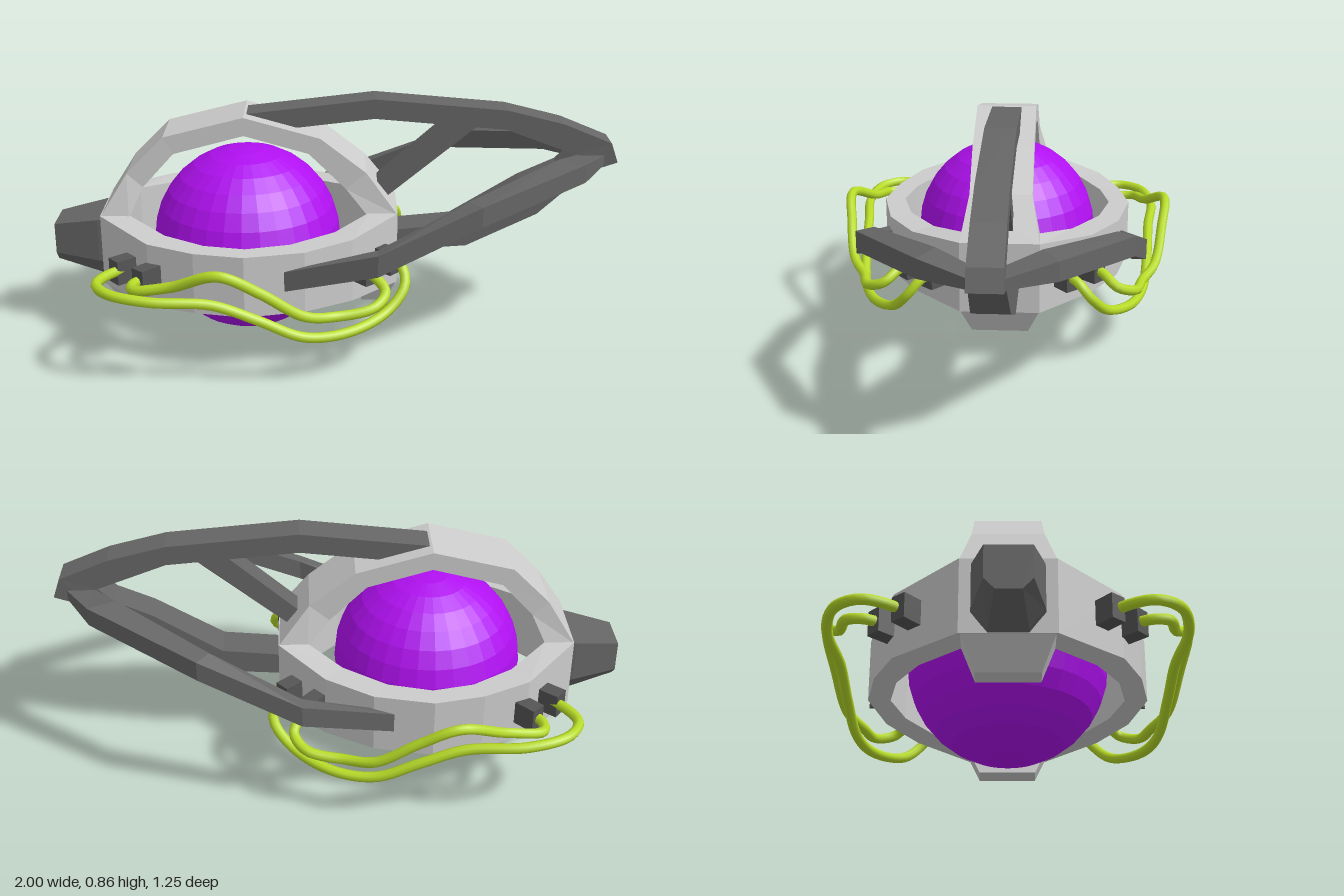
import * as THREE from 'three';

const mat = (color, flatShading = true) => new THREE.MeshStandardMaterial({ color, flatShading });
const grey = mat(0xcccccc), dark = mat(0x666666), socketMat = mat(0x555555);
const purple = mat(0xb010f0), green = mat(0xb8dc28, false);

// Skin a list of equal-sized cross-sections ([x, y, z] corners); ends are capped unless closed.
function loft(sections, closed = false) {
  const n = sections[0].length, m = sections.length, pos = sections.flat(2), tris = [];
  for (let i = 0; i < (closed ? m : m - 1); i++) {
    for (let j = 0; j < n; j++) {
      const a = i * n + j, b = i * n + (j + 1) % n;
      const k = ((i + 1) % m) * n, c = k + j, d = k + (j + 1) % n;
      tris.push([a, b, d], [a, d, c]);
    }
  }
  if (!closed) {
    const e = (m - 1) * n;
    for (let j = 1; j < n - 1; j++) tris.push([0, j + 1, j], [e, e + j, e + j + 1]);
  }
  // Turn all faces outward using the signed volume
  const v = (i) => new THREE.Vector3().fromArray(pos, i * 3);
  const volume = tris.reduce((s, [a, b, c]) => s + v(a).dot(v(b).cross(v(c))), 0);
  if (volume < 0) tris.forEach((t) => t.reverse());
  let g = new THREE.BufferGeometry();
  g.setAttribute('position', new THREE.Float32BufferAttribute(pos, 3));
  g.setIndex(tris.flat());
  g = g.toNonIndexed();
  g.computeVertexNormals();
  return g;
}

export function createModel() {
  const model = new THREE.Group();
  const add = (name, geometry, material) => {
    const mesh = new THREE.Mesh(geometry, material);
    mesh.name = name;
    model.add(mesh);
    return mesh;
  };

  // Central ball
  add('core', new THREE.SphereGeometry(0.335, 32, 16), purple).position.set(-0.315, 0.337, 0);

  // Faceted collar: outer x, z, inner x, z, bottom, top
  const half = [
    [-0.82, 0.15, -0.72, 0.14, 0.21, 0.465],
    [-0.63, 0.36, -0.58, 0.28, 0.22, 0.445],
    [-0.47, 0.43, -0.44, 0.36, 0.225, 0.44],
    [-0.30, 0.465, -0.30, 0.39, 0.225, 0.44],
    [-0.10, 0.42, -0.15, 0.35, 0.225, 0.44],
    [0.06, 0.32, 0, 0.25, 0.22, 0.445],
    [0.22, 0.14, 0.12, 0.13, 0.21, 0.47],
  ];
  const collarSection = ([ox, oz, ix, iz, lo, hi], s) =>
    [[ox, lo, s * oz], [ox, hi, s * oz], [ix, hi, s * iz], [ix, lo, s * iz]];
  add('collar', loft([
    ...half.map((p) => collarSection(p, 1)),
    ...[...half].reverse().map((p) => collarSection(p, -1)),
  ], true), grey);

  // Strip lying along x: outer x, y, inner x, y, half width
  const strip = (rows) => loft(rows.map(([ox, oy, ix, iy, w]) =>
    [[ox, oy, w], [ox, oy, -w], [ix, iy, -w], [ix, iy, w]]));

  // Arch over the ball
  add('arch', strip([
    [-0.82, 0.46, -0.72, 0.455, 0.15],
    [-0.725, 0.61, -0.67, 0.56, 0.115],
    [-0.595, 0.74, -0.56, 0.68, 0.11],
    [-0.315, 0.81, -0.315, 0.745, 0.11],
    [-0.05, 0.735, -0.09, 0.68, 0.11],
    [0.11, 0.61, 0.04, 0.55, 0.11],
    [0.22, 0.465, 0.12, 0.455, 0.14],
  ]), grey);

  // Feet under both ends of the collar
  add('rearFoot', strip([[-0.82, 0.215, -0.72, 0.215, 0.145], [-0.76, 0.11, -0.69, 0.11, 0.10]]), grey);
  add('frontFoot', strip([[0.22, 0.215, 0.12, 0.215, 0.14], [0.18, 0.12, 0.095, 0.12, 0.10]]), grey);

  // Tapered snout at the rear end
  const snoutSection = (x, lo, mid, hi, w) =>
    [[x, hi, w], [x, mid, w], [x, lo, w * 0.55], [x, lo, -w * 0.55], [x, mid, -w], [x, hi, -w]];
  add('snout', loft([
    snoutSection(-0.80, 0.21, 0.28, 0.44, 0.115),
    snoutSection(-0.84, 0.215, 0.28, 0.435, 0.112),
    snoutSection(-1, 0.26, 0.295, 0.405, 0.073),
  ]), dark);

  // Central fin: upper and lower beams joined at the tip, widening towards the bottom
  const fin = [
    [-0.33, 0.805], [0.14, 0.86], [0.60, 0.82], [0.80, 0.77], [0.97, 0.70], [0.995, 0.63],
    [0.89, 0.595], [0.72, 0.44], [0.47, 0.32], [0.16, 0.30],
    [0.16, 0.375], [0.42, 0.40], [0.66, 0.55], [0.79, 0.61], [0.84, 0.66],
    [0.60, 0.75], [0.14, 0.79], [-0.20, 0.75],
  ];
  const finGeometry = new THREE.ExtrudeGeometry(
    new THREE.Shape(fin.map(([x, y]) => new THREE.Vector2(x, y))), { depth: 2, bevelEnabled: false });
  const p = finGeometry.attributes.position;
  for (let i = 0; i < p.count; i++) {
    const w = THREE.MathUtils.mapLinear(Math.min(p.getY(i), 0.65), 0.65, 0.30, 0.055, 0.068);
    p.setZ(i, (p.getZ(i) - 1) * w);
  }
  finGeometry.computeVertexNormals();
  add('fin', finGeometry, dark);

  // Diagonal strut between the upper beam and the collar
  add('strut', strip([[0.40, 0.78, 0.51, 0.77, 0.045], [0.12, 0.53, 0.16, 0.48, 0.045]]), dark);

  // Side arms: outer x, z, inner x, z, bottom, top
  const arm = [
    [-0.19, 0.43, -0.15, 0.40, 0.30, 0.37],
    [0.14, 0.51, 0.14, 0.46, 0.39, 0.465],
    [0.48, 0.45, 0.44, 0.395, 0.54, 0.61],
    [0.855, 0.21, 0.765, 0.16, 0.61, 0.675],
    [0.95, 0.05, 0.86, 0.04, 0.62, 0.655],
  ];
  // Cable paths from rear socket to front socket
  const cables = [
    [[-0.70, 0.335, 0.30], [-0.76, 0.34, 0.37], [-0.79, 0.34, 0.45], [-0.74, 0.34, 0.53], [-0.60, 0.33, 0.57],
      [-0.40, 0.31, 0.55], [-0.25, 0.25, 0.54], [-0.10, 0.18, 0.52], [0.05, 0.175, 0.47], [0.18, 0.21, 0.38],
      [0.24, 0.28, 0.32], [0.225, 0.335, 0.27], [0.17, 0.335, 0.22]],
    [[-0.62, 0.335, 0.37], [-0.67, 0.335, 0.44], [-0.66, 0.34, 0.50], [-0.53, 0.37, 0.54], [-0.37, 0.435, 0.605],
      [-0.24, 0.37, 0.59], [-0.10, 0.275, 0.56], [0, 0.25, 0.51], [0.13, 0.265, 0.475], [0.17, 0.295, 0.41],
      [0.13, 0.33, 0.36], [0.09, 0.335, 0.31]],
  ];
  // Sockets: x, z, turn about y
  const sockets = [[-0.72, 0.31, -0.86], [-0.63, 0.39, -0.75], [0.10, 0.32, 0.72], [0.18, 0.23, 0.85]];

  for (const [side, s] of [['left', 1], ['right', -1]]) {
    const where = s > 0 ? 'Front' : 'Back';
    add(`arm${where}`, loft(arm.map((row) => collarSection(row, s))), dark);
    for (const path of cables) {
      const curve = new THREE.CatmullRomCurve3(path.map(([x, y, z]) => new THREE.Vector3(x, y, s * z)));
      add(`cable${where}`, new THREE.TubeGeometry(curve, 64, 0.018, 8), green);
    }
    for (const [x, z, turn] of sockets) {
      const socket = add(`cableSocket${where}`, new THREE.BoxGeometry(0.055, 0.085, 0.08), socketMat);
      socket.position.set(x, 0.335, s * z);
      socket.rotation.y = s * turn;
    }
  }
  return model;
}
